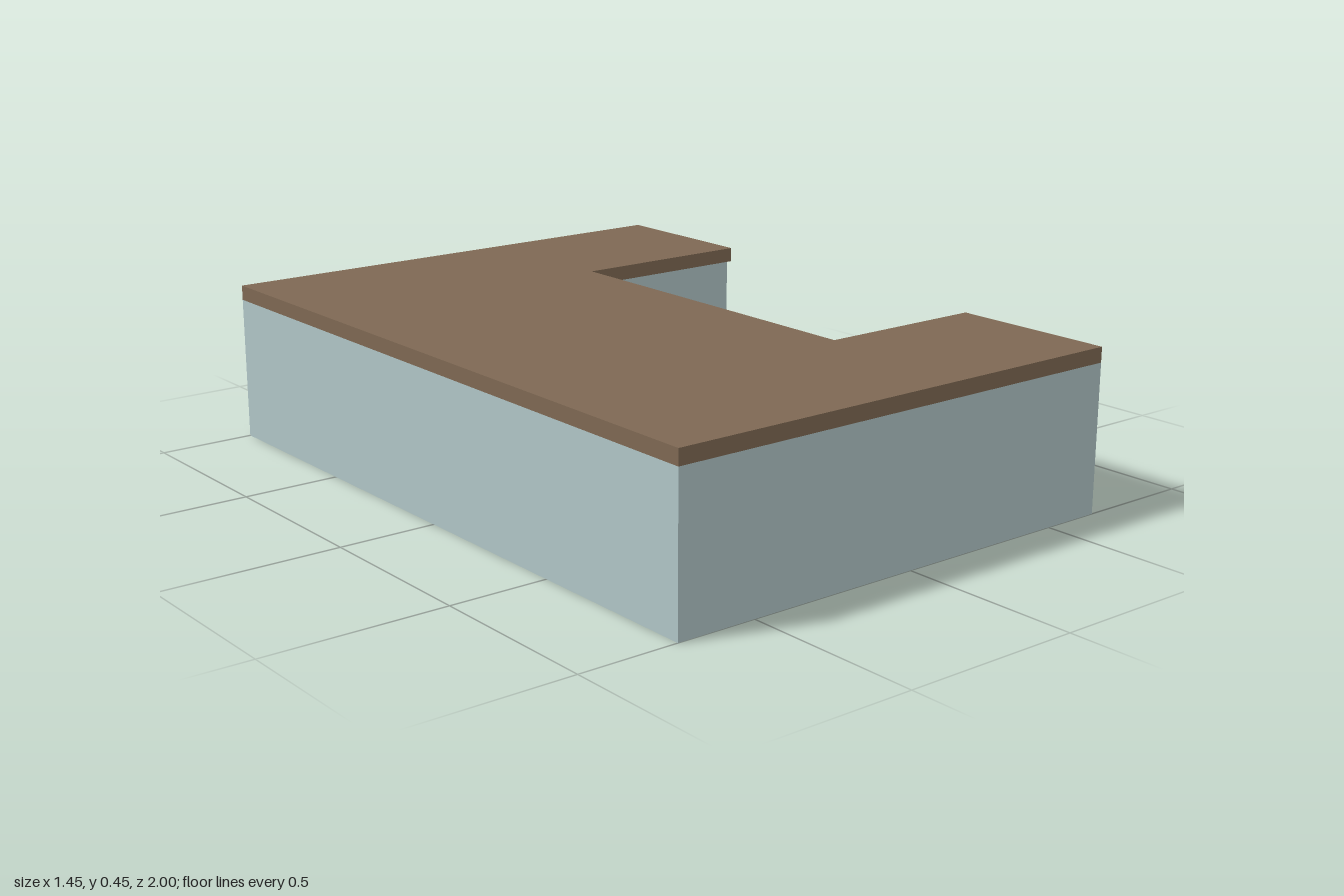
import * as THREE from 'three';

export function createModel() {
  const model = new THREE.Group();
  const mat = (name, color) => {
    const m = new THREE.MeshStandardMaterial({ color });
    m.name = name;
    return m;
  };
  const teal = mat('pale teal paint', 0xb0c5c6);
  const brown = mat('brown wood', 0x7e6853);
  const pink = mat('dusty pink', 0xc69a9a);

  const add = (name, geometry, material, parent = model) => {
    const mesh = new THREE.Mesh(geometry, material);
    mesh.name = name;
    parent.add(mesh);
    return mesh;
  };
  // Box given by its minimum and maximum corners
  const box = (name, material, x0, x1, y0, y1, z0, z1, parent) => {
    const mesh = add(name, new THREE.BoxGeometry(x1 - x0, y1 - y0, z1 - z0), material, parent);
    mesh.position.set((x0 + x1) / 2, (y0 + y1) / 2, (z0 + z1) / 2);
    return mesh;
  };
  const rect = (PathType, z0, z1, y0, y1) => new PathType().setFromPoints(
    [[-z1, y0], [-z0, y0], [-z0, y1], [-z1, y1]].map(p => new THREE.Vector2(...p)));
  // Rectangular frame facing +x, with a rectangular opening
  const frame = (name, material, x0, x1, outer, inner, parent) => {
    const shape = rect(THREE.Shape, ...outer);
    shape.holes.push(rect(THREE.Path, ...inner));
    const mesh = add(name, new THREE.ExtrudeGeometry(shape, { depth: x1 - x0, bevelEnabled: false }), material, parent);
    mesh.rotation.y = Math.PI / 2;
    mesh.position.x = x0;
  };

  const left = -0.725, face = 0.155, deep = -0.21, top = 0.41;

  // U-shaped countertop, overhanging the inner faces
  const outline = [[left, -1], [0.67, -1], [0.67, -0.525], [0.18, -0.525],
    [0.18, 0.525], [0.725, 0.525], [0.725, 1], [left, 1]];
  const counter = add('countertop', new THREE.ExtrudeGeometry(
    new THREE.Shape(outline.map(p => new THREE.Vector2(...p))),
    { depth: 0.042, bevelEnabled: false }), brown);
  counter.rotation.x = -Math.PI / 2;
  counter.position.y = top;

  // Cabinet bodies
  box('frontArmCabinet', teal, left, 0.67, 0, top, 0.55, 1);
  box('backArmCabinet', teal, left, 0.725, 0, top, -1, -0.545);
  box('middleCabinetRear', teal, left, deep, 0, top, -0.545, 0.55);
  frame('middleCabinetFront', teal, deep, face, [-0.545, 0.55, 0, top], [0, 0.5, 0.1, 0.37]);

  // Pink compartment set back in the niche
  const niche = new THREE.Group();
  niche.name = 'compartment';
  model.add(niche);
  const mouth = 0.05;
  box('compartmentBack', pink, deep, deep + 0.01, 0.1, 0.37, 0, 0.5, niche);
  box('compartmentCeiling', pink, deep, mouth, 0.362, 0.369, 0.001, 0.499, niche);
  box('compartmentFloor', pink, deep, mouth, 0.101, 0.108, 0.001, 0.499, niche);
  box('compartmentLowerFront', pink, mouth - 0.02, mouth, 0.101, 0.166, 0.001, 0.499, niche);
  box('compartmentRail', brown, mouth - 0.02, mouth + 0.005, 0.166, 0.174, 0.012, 0.488, niche);
  for (const [z0, z1, zb] of [[0.001, 0.008, 0.015], [0.492, 0.499, 0.485]]) {
    box('compartmentSide', pink, deep, mouth, 0.101, 0.369, z0, z1, niche);
    // Small rounded side bracket
    const bracket = add('sideBracket', new THREE.CylinderGeometry(0.016, 0.016, 0.016, 16), pink, niche);
    bracket.rotation.x = Math.PI / 2;
    bracket.position.set(mouth - 0.02, 0.275, zb);
  }

  // Two drawers with raised borders and cup pulls
  for (const y of [0.075, 0.22]) {
    const drawer = new THREE.Group();
    drawer.name = 'drawer';
    model.add(drawer);
    const y1 = y + 0.105;
    frame('drawerBorder', teal, face, face + 0.012,
      [-0.5, -0.1, y, y1], [-0.482, -0.118, y + 0.018, y1 - 0.018], drawer);
    box('drawerPanel', teal, face, face + 0.008, y + 0.026, y1 - 0.026, -0.474, -0.126, drawer);
    box('pullTop', brown, face, face + 0.032, y + 0.085, y + 0.091, -0.337, -0.263, drawer);
    box('pullFront', brown, face + 0.026, face + 0.032, y + 0.069, y + 0.086, -0.337, -0.263, drawer);
    for (const z of [-0.337, -0.269])
      box('pullEnd', brown, face, face + 0.03, y + 0.069, y + 0.086, z, z + 0.006, drawer);
  }
  return model;
}
